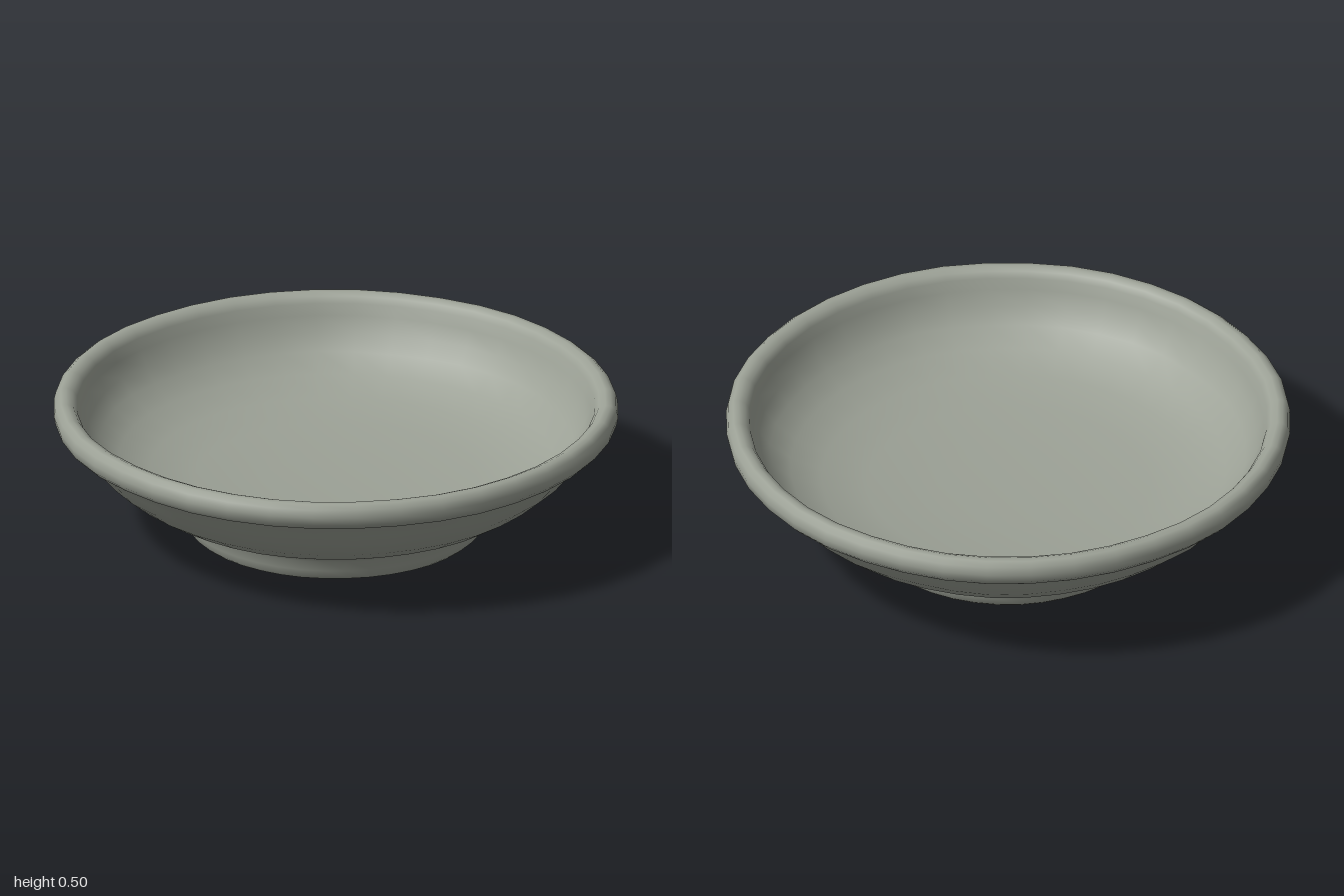
import * as THREE from 'three';
import { mergeVertices } from 'three/addons/utils/BufferGeometryUtils.js';

// Closed profile [radius, height]: recess, foot ring, outer wall, rim, inner bowl
const PROFILE = [
  [0, 0.12], [0.25, 0.12], [0.42, 0.115], [0.455, 0.1], [0.475, 0.05], [0.488, 0.018],
  [0.498, 0.007], [0.512, 0.007], [0.524, 0.018], [0.533, 0.045], [0.545, 0.085], [0.56, 0.104],
  [0.62, 0.125], [0.69, 0.155], [0.77, 0.205], [0.84, 0.265], [0.89, 0.325], [0.925, 0.37],
  [0.945, 0.387], [0.975, 0.395], [0.994, 0.415], [1, 0.445], [0.993, 0.474], [0.975, 0.489],
  [0.955, 0.491], [0.932, 0.481], [0.917, 0.46], [0.905, 0.42], [0.88, 0.365], [0.84, 0.31],
  [0.77, 0.255], [0.66, 0.21], [0.5, 0.182], [0.25, 0.168], [0, 0.165],
];

export function createModel() {
  const clay = new THREE.MeshStandardMaterial({ color: 0x9ca196 });
  clay.name = 'greyGreenClay';

  let geometry = new THREE.LatheGeometry(PROFILE.map(([r, y]) => new THREE.Vector2(r, y)), 40);
  geometry.deleteAttribute('uv');
  geometry.deleteAttribute('normal');

  // Hand-made unevenness: slight waviness of the walls and a gentle tilt of the rim
  const pos = geometry.attributes.position;
  for (let i = 0; i < pos.count; i++) {
    const x = pos.getX(i), y = pos.getY(i), z = pos.getZ(i);
    const a = Math.atan2(x, z), r = Math.hypot(x, z);
    const wall = r > 0.8 && r < 0.94 && y < 0.38 ? 0.005 : 0.0015;
    const k = r > 0.3 ? 1 + wall * (Math.sin(7 * a + 1) + 0.7 * Math.sin(12 * a + y * 9)) : 1;
    const tilt = (-0.006 * x - 0.01 * z) * (0.3 + 1.4 * y);
    pos.setXYZ(i, x * k, y + tilt, z * k);
  }
  geometry = mergeVertices(geometry, 1e-4);
  geometry.computeVertexNormals();

  const bowl = new THREE.Mesh(geometry, clay);
  bowl.name = 'footedBowl';
  const group = new THREE.Group();
  group.name = 'dish';
  group.add(bowl);
  return group;
}
